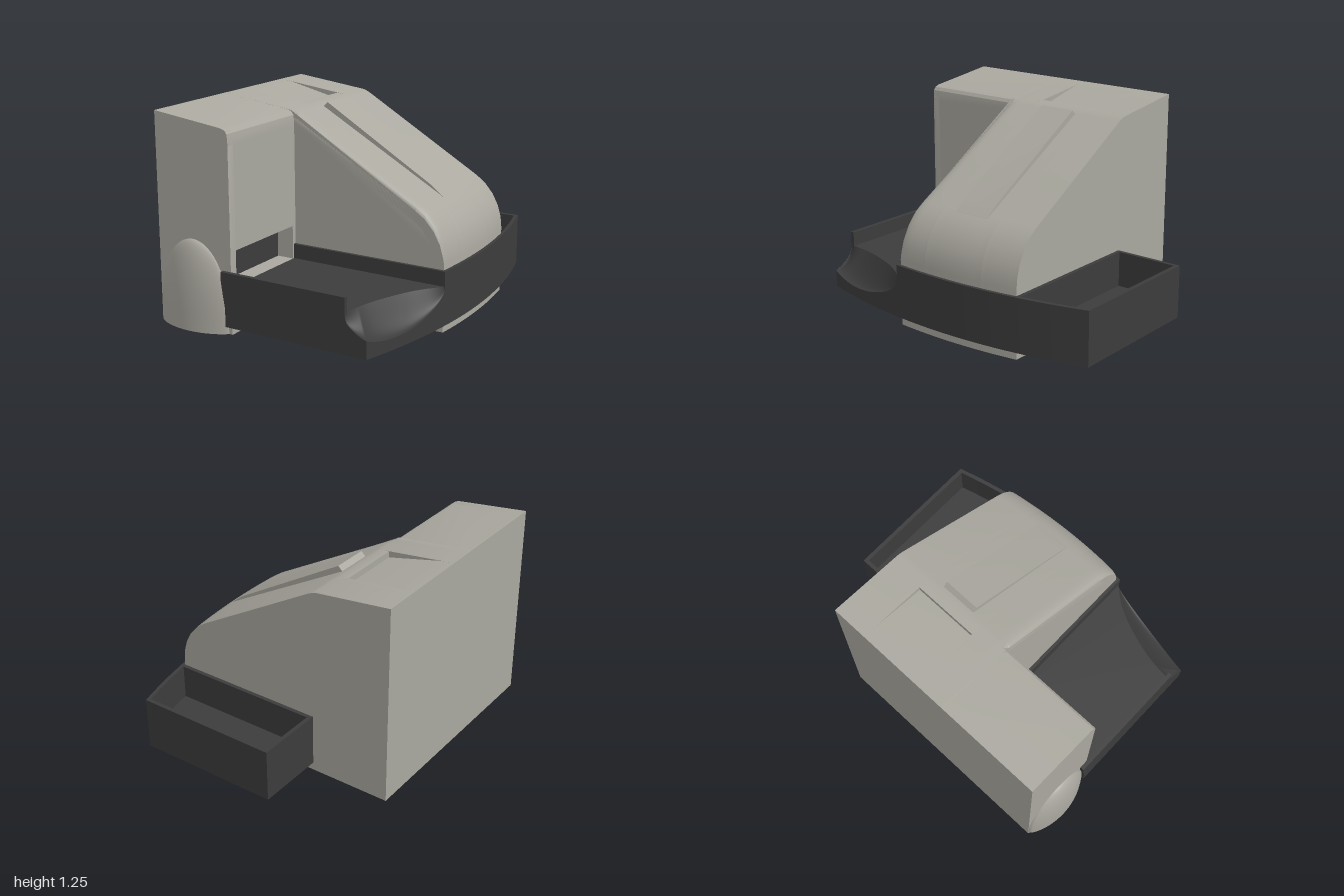
import * as THREE from 'three';
import { toCreasedNormals } from 'three/addons/utils/BufferGeometryUtils.js';
import { ParametricGeometry } from 'three/addons/geometries/ParametricGeometry.js';

const shell = new THREE.MeshStandardMaterial({ color: 0xaaa89f, side: THREE.DoubleSide });
const dark = new THREE.MeshStandardMaterial({ color: 0x3c3c3c, side: THREE.DoubleSide });

// Bowed outer edge of the tray, and the matching bow of the housing
const edge = z => 0.77 - 0.14 * ((z + 0.025) / 0.975) ** 2;
const shapeOf = pts => new THREE.Shape(pts.map(p => new THREE.Vector2(p[0], p[1])));
const rect = (a, b, c, d) => [[a, c], [b, c], [b, d], [a, d]];

export function createModel() {
  const model = new THREE.Group();

  function add(name, geometry, material, parent = model) {
    const mesh = new THREE.Mesh(geometry, material);
    mesh.name = name;
    parent.add(mesh);
    return mesh;
  }
  function extrude(shape, depth, steps = 1) {
    return new THREE.ExtrudeGeometry(shape, { depth, steps, bevelEnabled: false });
  }
  // Profile in x,y pulled along z, bowed on its +x side and rounded at the cut-away edge
  function alongZ(name, pts, z0, z1, material, bend = true, parent = model) {
    const g = extrude(shapeOf(pts), z1 - z0, bend ? 8 : 1).translate(0, 0, z0);
    const p = g.attributes.position;
    for (let i = 0; bend && i < p.count; i++) {
      const x = p.getX(i), y = p.getY(i), z = p.getZ(i);
      if (x > 0) p.setX(i, x + (edge(z) - 0.77) * x / 0.75);
      const t = Math.min(1, Math.max(0, (z - 0.21) / 0.06));
      if (x > -0.26 && y > 0.42) p.setY(i, y - 0.03 * (1 - Math.sqrt(1 - t * t)));
    }
    return add(name, toCreasedNormals(g, 0.5), material, parent);
  }
  // Plan shape in x,z given height from y0 to y1
  function slab(name, pts, y0, y1, material, parent) {
    const g = extrude(shapeOf(pts), y1 - y0).rotateX(Math.PI / 2).translate(0, y1, 0);
    return add(name, toCreasedNormals(g, 0.4), material, parent);
  }
  // Shape in z,y given thickness towards -x
  function alongX(name, pts, hole, x1, depth, material) {
    const s = shapeOf(pts);
    if (hole) s.holes.push(shapeOf(hole));
    return add(name, extrude(s, depth).rotateY(-Math.PI / 2).translate(x1, 0, 0), material);
  }

  // Main housing: hollow arch profile, with a tapered recess in the middle section
  const nose = [[0.56, 0.725], [0.62, 0.685], [0.68, 0.62], [0.72, 0.55], [0.742, 0.48], [0.75, 0.41], [0.75, 0]];
  const roof = [[-0.78, 0], [-0.78, 1.25], [-0.29, 1.192], [-0.25, 1.175], ...nose];
  const roofCut = [[-0.78, 0], [-0.78, 1.25], [-0.7, 1.24], [-0.35, 1.16], [-0.35, 1.198],
    [-0.29, 1.192], [-0.25, 1.175], ...nose];
  const inside = [[0.7, 0], [0.7, 0.41], [0.67, 0.53], [0.6, 0.63], [0.53, 0.675],
    [-0.28, 1.12], [-0.73, 1.18], [-0.73, 0]];
  const housing = new THREE.Group();
  housing.name = 'housing';
  model.add(housing);
  alongZ('rearHousing', [...roof, ...inside], -0.57, -0.34, shell, true, housing);
  alongZ('recessedHousing', [...roofCut, ...inside], -0.34, 0.07, shell, true, housing);
  alongZ('middleHousing', [...roof, ...inside], 0.07, 0.27, shell, true, housing);
  alongZ('backWall', roof, -0.57, -0.52, shell, true, housing);
  alongZ('innerFrontWall', [[-0.32, 0], [-0.32, 1.15], [-0.25, 1.175], ...nose], 0.22, 0.27, shell, true, housing);

  // Raised band on the sloping roof
  alongZ('slopeBand', [[-0.26, 1.16], [-0.22, 1.2], [0.5, 0.775], [0.575, 0.715], [0.5, 0.74]],
    -0.25, -0.02, shell, false);

  // Forward column: roof and outer wall, window wall, front wall with arched opening
  alongZ('columnShell', [[-0.78, 0], [-0.78, 1.25], [-0.32, 1.195], [-0.29, 1.185], [-0.275, 1.165],
    [-0.27, 1.13], [-0.27, 1.1], [-0.32, 1.1], [-0.33, 1.13], [-0.73, 1.18], [-0.73, 0]], 0.27, 0.92, shell, false);
  const windowHole = rect(0.3, 0.87, 0.285, 0.49);
  alongX('windowWall', rect(0.25, 0.92, 0, 1.1), windowHole, -0.27, 0.05, shell);
  alongX('windowSleeve', rect(0.28, 0.89, 0.265, 0.51), windowHole, -0.272, 0.11, shell);
  alongX('windowPlate', rect(0.28, 0.89, 0.265, 0.51), null, -0.38, 0.01, dark);
  const arch = [];
  for (let i = 0; i <= 16; i++) {
    const a = Math.PI * i / 16;
    arch.push([-0.53 + 0.2 * Math.cos(a), 0.1 + 0.38 * Math.sin(a)]);
  }
  alongZ('columnFront', [[-0.33, 0], ...arch, [-0.73, 0], [-0.78, 0], [-0.78, 1.25], [-0.32, 1.195],
    [-0.285, 1.18], [-0.27, 1.13], [-0.27, 0]], 0.87, 0.92, shell, false);

  // Bulging dome at the foot of the column, with its straight base
  add('frontDome', new ParametricGeometry((u, v, target) => {
    const y = 0.53 * Math.sin(v * Math.PI / 2);
    const f = Math.sqrt(Math.max(0, 1 - Math.max(0, (y - 0.1) / 0.43) ** 2.2));
    const s = 2 * u - 1;
    target.set(-0.535 + 0.243 * f * s, y, 0.918 + 0.08 * f * (1 - s * s) ** 0.8);
  }, 28, 24), shell);
  const lip = [], lipInner = [];
  for (let i = 0; i <= 20; i++) {
    const s = i / 10 - 1, b = Math.max(0, 1 - s * s) ** 0.8;
    lip.push([-0.535 + 0.243 * s, 0.918 + 0.08 * b]);
    lipInner.unshift([-0.535 + 0.2 * s, 0.88 + 0.08 * b]);
  }
  slab('domeBase', [...lip, ...lipInner], 0, 0.095, shell, model);

  // Wrap-around tray
  const tray = new THREE.Group();
  tray.name = 'tray';
  model.add(tray);
  const bow = (z0, z1, inset = 0) =>
    Array.from({ length: 25 }, (_, i) => z0 + (z1 - z0) * i / 24).map(z => [edge(z) - inset, z]);
  slab('bowedWall', [...bow(-1, 0.29), ...bow(0.29, -1, 0.025)], 0.05, 0.375, dark, tray);
  slab('rearTrayBack', rect(-0.27, 0.63, -1, -0.975), 0.05, 0.375, dark, tray);
  slab('rearTraySide', rect(-0.27, -0.245, -1, -0.56), 0.05, 0.375, dark, tray);
  slab('rearTrayInner', rect(-0.27, 0.71, -0.595, -0.565), 0.05, 0.375, dark, tray);
  slab('rearTrayFloor', [[-0.26, -0.57], [-0.26, -0.99], ...bow(-0.99, -0.57, 0.01)], 0.13, 0.16, dark, tray);
  slab('frontTrayInner', rect(-0.27, 0.75, 0.265, 0.29), 0.05, 0.375, dark, tray);
  slab('frontTraySide', rect(-0.27, -0.245, 0.28, 0.94), 0.05, 0.28, dark, tray);
  alongZ('frontTrayWall', [[-0.3, 0.05], [-0.3, 0.16], [-0.315, 0.25], [-0.325, 0.32], [-0.325, 0.375],
    [0.495, 0.375], [0.495, 0.05]], 0.92, 0.945, dark, false, tray);

  // Scooped corner: inner rim on the floor, outer rim round the tray corner
  const rim = new THREE.CatmullRomCurve3([[0.49, 0.945], [0.515, 0.76], [0.6, 0.51], [0.67, 0.385], [0.755, 0.285]]
    .map(p => new THREE.Vector3(p[0], 0.285, p[1])));
  const outer = u => {
    if (u < 0.16) return [0.49 + (edge(0.945) - 0.49) * u / 0.16, 0.945];
    const z = 0.945 - 0.66 * (u - 0.16) / 0.84;
    return [edge(z), z];
  };
  const depth = u => 0.168 * Math.sqrt(Math.max(0, Math.sin(Math.PI * u ** 0.87)));
  add('cornerScoop', new ParametricGeometry((u, v, target) => {
    const p = rim.getPoint(u), q = outer(u);
    target.set(p.x + (q[0] - p.x) * v, 0.285 - depth(u) * Math.sin(v * Math.PI / 2), p.z + (q[1] - p.z) * v);
  }, 50, 12), dark, tray);
  add('scoopSkirt', toCreasedNormals(new ParametricGeometry((u, v, target) => {
    const q = outer(u), top = 0.285 - depth(u);
    target.set(q[0], 0.05 + (top - 0.05) * v, q[1]);
  }, 50, 1), 0.5), dark, tray);
  slab('frontTrayFloor', [[-0.27, 0.27], [0.75, 0.27],
    ...rim.getPoints(24).reverse().map(p => [p.x, p.z]), [-0.27, 0.945]], 0.255, 0.285, dark, tray);

  return model;
}
